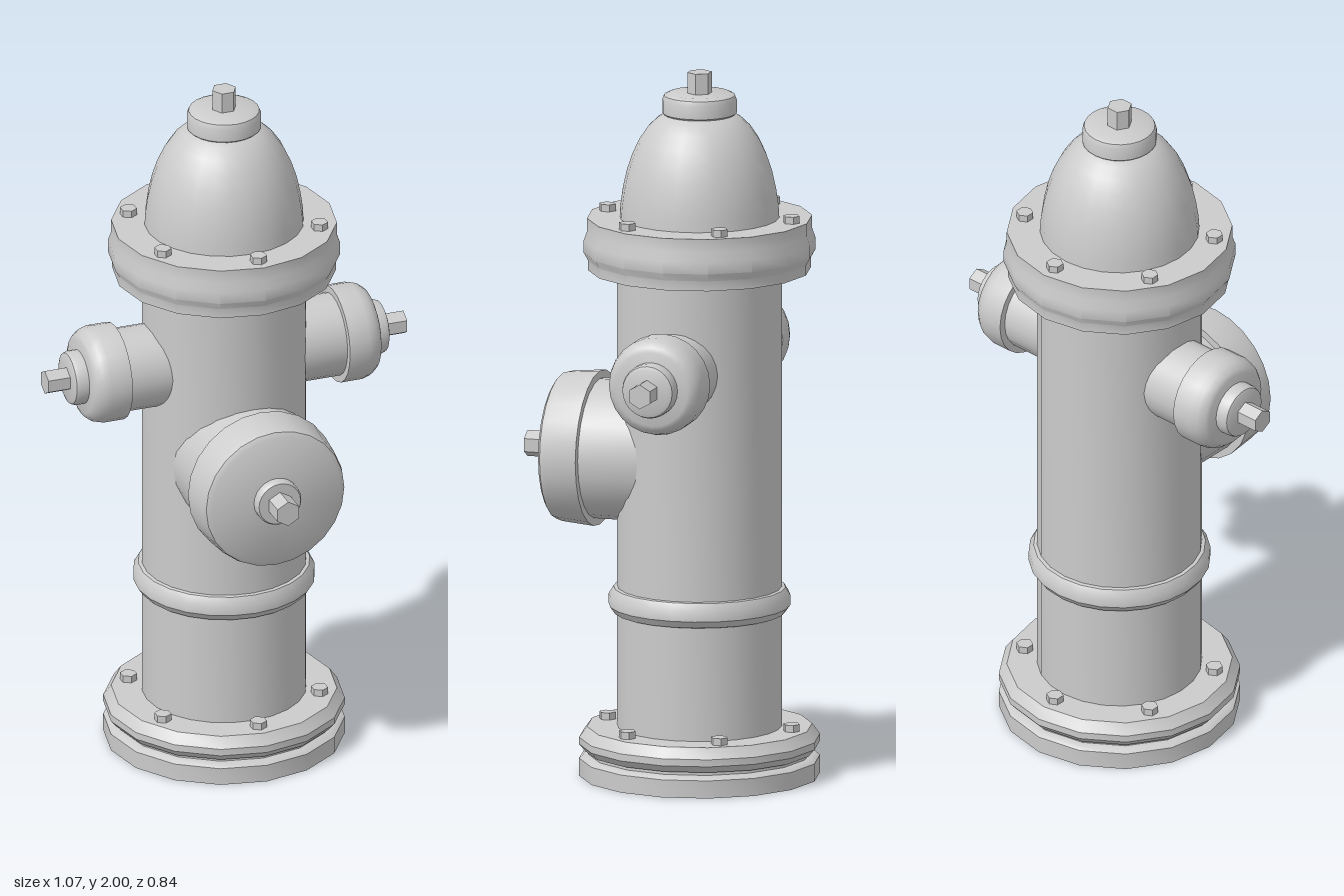
import * as THREE from 'three';
import { toCreasedNormals } from 'three/addons/utils/BufferGeometryUtils.js';

const material = new THREE.MeshStandardMaterial({ color: 0xcccccc });

// Turned part from [radius, height] points, listed counter-clockwise
function turned(name, points, segments = 24, crease = 0.6) {
  const profile = points.map(([r, y]) => new THREE.Vector2(r, y));
  const geometry = toCreasedNormals(new THREE.LatheGeometry(profile, segments), crease);
  const mesh = new THREE.Mesh(geometry, material);
  mesh.name = name;
  return mesh;
}

// Hexagonal nut or bolt head, flat-sided
function hexNut(name, radius, bottom, top) {
  return turned(name, [[0, bottom], [radius, bottom], [radius, top], [0, top]], 6, 0.3);
}

// Ring of six bolts around the axis
function boltRing(name, y) {
  const ring = new THREE.Group();
  ring.name = name;
  for (let i = 0; i < 6; i++) {
    const a = i * Math.PI / 3;
    const bolt = hexNut('bolt', 0.024, y - 0.03, y + 0.02);
    bolt.position.set(Math.sin(a) * 0.27, 0, Math.cos(a) * 0.27);
    ring.add(bolt);
  }
  return ring;
}

// Outlet built along +y, then laid over so that it points to +z and turned by angle
function outlet(name, y, angle, pipe, cap, boss, nut) {
  const group = new THREE.Group();
  group.name = name;
  group.add(
    turned('outletPipe', pipe),
    turned('outletCap', cap),
    turned('capBoss', boss),
    hexNut('capNut', ...nut),
  );
  group.rotation.set(Math.PI / 2, angle, 0, 'YXZ');
  group.position.y = y;
  return group;
}

export function createModel() {
  const model = new THREE.Group();
  model.name = 'hydrant';
  const body = new THREE.Group();
  body.name = 'body';
  body.position.z = -0.085;
  model.add(body);

  // Hollow base: lower rim, groove, upper plate, recessed underside
  body.add(turned('baseFlange', [
    [0.2, 0.04], [0.305, 0.04], [0.305, 0], [0.337, 0], [0.337, 0.05], [0.327, 0.058],
    [0.31, 0.06], [0.31, 0.07], [0.32, 0.07], [0.337, 0.09], [0.337, 0.11],
    [0.315, 0.14], [0.2, 0.14],
  ], 16));
  body.add(boltRing('baseBolts', 0.14));

  // Barrel with an open bore
  body.add(turned('barrel', [
    [0.2, 0.04], [0.23, 0.04], [0.23, 1.46], [0.2, 1.46], [0.2, 0.04],
  ]));
  body.add(turned('barrelRing', [
    [0.228, 0.462], [0.24, 0.465], [0.254, 0.485], [0.254, 0.512], [0.24, 0.535], [0.228, 0.537],
  ]));

  // Upper flange with a bulging band
  body.add(turned('topFlange', [
    [0.2, 1.44], [0.312, 1.44], [0.312, 1.468], [0.324, 1.49], [0.324, 1.525],
    [0.315, 1.55], [0.315, 1.588], [0, 1.588],
  ], 16));
  body.add(boltRing('topBolts', 1.588));

  // Bonnet dome, its cap and operating nut
  body.add(turned('dome', [
    [0.223, 1.585], [0.221, 1.62], [0.214, 1.67], [0.203, 1.72], [0.188, 1.765],
    [0.168, 1.808], [0.143, 1.845], [0.117, 1.87], [0.09, 1.885], [0, 1.89],
  ]));
  body.add(turned('domeCap', [
    [0, 1.877], [0.095, 1.877], [0.104, 1.885], [0.104, 1.922], [0.099, 1.935],
    [0.086, 1.941], [0, 1.941],
  ]));
  const topNut = hexNut('operatingNut', 0.035, 1.93, 2);
  topNut.rotation.y = Math.PI / 6;
  body.add(topNut);

  // Two small side outlets
  for (const side of [1, -1]) {
    body.add(outlet(side > 0 ? 'leftOutlet' : 'rightOutlet', 1.18, side * Math.PI / 2,
      [[0.118, 0.1], [0.118, 0.34]],
      [[0, 0.324], [0.138, 0.324], [0.138, 0.385], [0.132, 0.407], [0.118, 0.425], [0.105, 0.43], [0, 0.43]],
      [[0.077, 0.42], [0.077, 0.455], [0.073, 0.466], [0.063, 0.47], [0, 0.47]],
      [0.035, 0.46, 0.535]));
  }

  // Large front outlet
  body.add(outlet('frontOutlet', 0.91, 0,
    [[0.197, 0.08], [0.197, 0.31]],
    [[0, 0.293], [0.219, 0.293], [0.211, 0.385], [0.206, 0.402], [0.192, 0.411], [0, 0.411]],
    [[0.067, 0.4], [0.067, 0.43], [0.062, 0.438], [0, 0.44]],
    [0.037, 0.43, 0.505]));

  return model;
}
